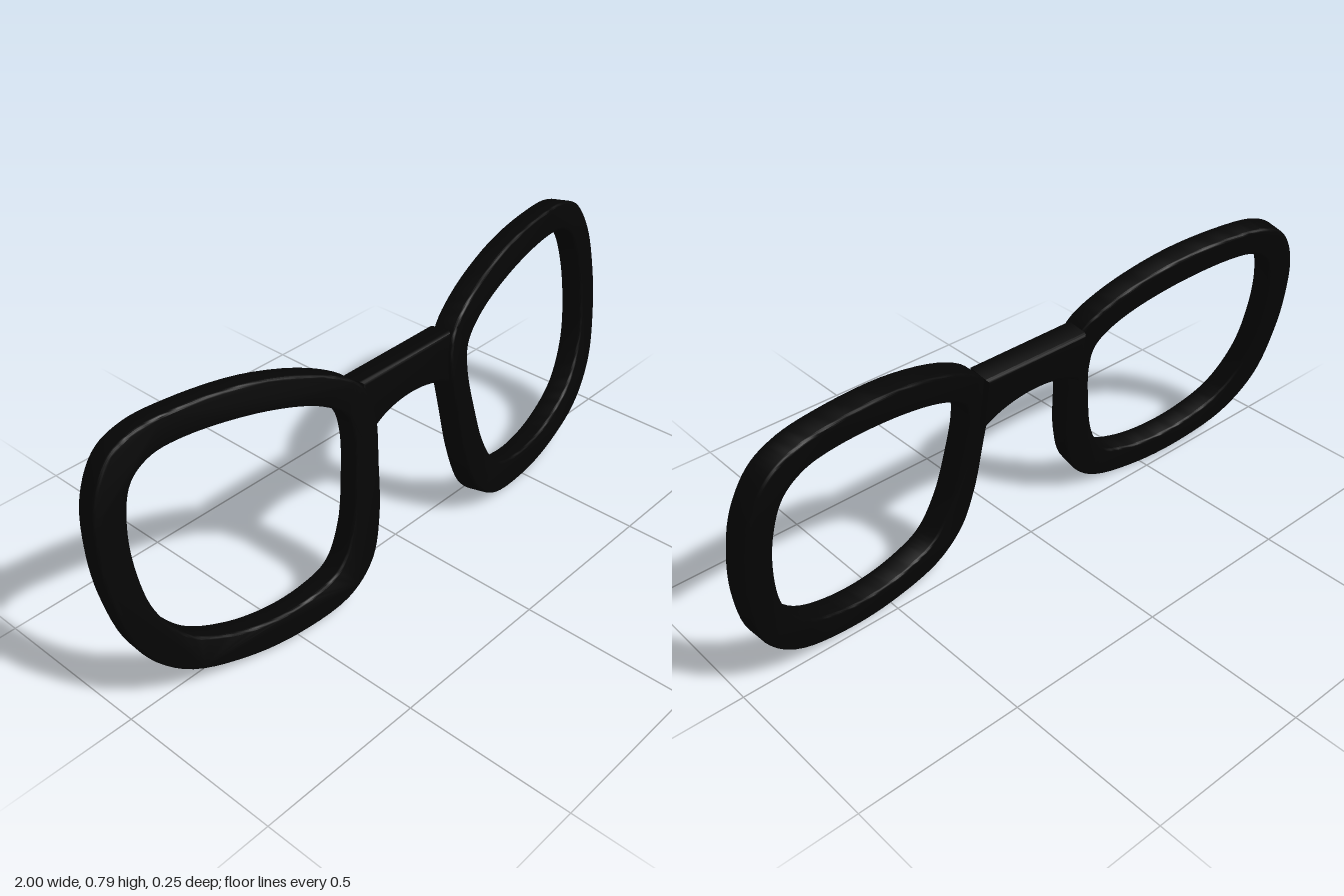
import * as THREE from 'three';
import { toCreasedNormals } from 'three/addons/utils/BufferGeometryUtils.js';

const LEAN = -0.1414; // z per unit of height
const WRAP = -0.132; // z per unit sideways, away from the bridge

// Rim contours for the +x side, anticlockwise as [x, y]
const OUTER = [
  [0.715, 0.786], [0.49, 0.768], [0.276, 0.7], [0.178, 0.63], [0.15, 0.54], [0.16, 0.39],
  [0.18, 0.23], [0.223, 0.107], [0.314, 0.03], [0.495, 0.002], [0.677, 0.021], [0.84, 0.08],
  [0.945, 0.19], [0.991, 0.353], [0.998, 0.497], [0.977, 0.635], [0.918, 0.735], [0.838, 0.775],
];
const OPENING = [
  [0.715, 0.702], [0.49, 0.676], [0.319, 0.622], [0.248, 0.567], [0.234, 0.497], [0.25, 0.364],
  [0.282, 0.23], [0.34, 0.134], [0.426, 0.1], [0.544, 0.09], [0.677, 0.112], [0.8, 0.171],
  [0.88, 0.283], [0.907, 0.417], [0.902, 0.55], [0.87, 0.647], [0.811, 0.69],
];

// Smooth closed loop through the points; the mirrored side is reversed to stay anticlockwise
function loop(points, side) {
  const curve = new THREE.CatmullRomCurve3(
    points.map(([x, y]) => new THREE.Vector3(x * side, y, 0)), true);
  const result = curve.getPoints(96).slice(0, -1).map((p) => new THREE.Vector2(p.x, p.y));
  return side < 0 ? result.reverse() : result;
}

// Extrudes a front outline to a slab centred on the plane z = z0 + bx * x + cy * y
function slab(shape, depth, bevel, inset, z0, bx, cy) {
  const geometry = new THREE.ExtrudeGeometry(shape, {
    depth: depth - 2 * bevel, curveSegments: 24, bevelEnabled: true, bevelThickness: bevel,
    bevelSize: bevel, bevelOffset: -bevel - inset, bevelSegments: 3,
  });
  geometry.translate(0, 0, bevel - depth / 2);
  const tilt = new THREE.Matrix4().makeBasis(
    new THREE.Vector3(1, 0, bx), new THREE.Vector3(0, 1, cy),
    new THREE.Vector3(-bx, -cy, 1).normalize());
  tilt.setPosition(0, 0, z0);
  geometry.applyMatrix4(tilt);
  return toCreasedNormals(geometry, 0.7);
}

export function createModel() {
  const group = new THREE.Group();
  group.name = 'spectacleFrame';
  const black = new THREE.MeshStandardMaterial({ color: 0x050505 });

  const add = (name, geometry) => {
    const mesh = new THREE.Mesh(geometry, black);
    mesh.name = name;
    group.add(mesh);
  };

  // Rims, swept back from the bridge and leaning back
  for (const side of [1, -1]) {
    const shape = new THREE.Shape(loop(OUTER, side));
    shape.holes.push(new THREE.Path(loop(OPENING, side).reverse()));
    add(side > 0 ? 'leftRim' : 'rightRim',
      slab(shape, 0.073, 0.008, 0.002, 0.1335, WRAP * side, LEAN));
  }

  // Bridge, flat on top and arched below
  const bridge = new THREE.Shape();
  bridge.moveTo(-0.182, 0.634);
  bridge.lineTo(-0.182, 0.465);
  bridge.bezierCurveTo(-0.09, 0.54, 0.09, 0.54, 0.182, 0.465);
  bridge.lineTo(0.182, 0.634);
  bridge.closePath();
  add('bridge', slab(bridge, 0.082, 0.012, 0, 0.008 - LEAN * 0.62, 0, LEAN));

  return group;
}
